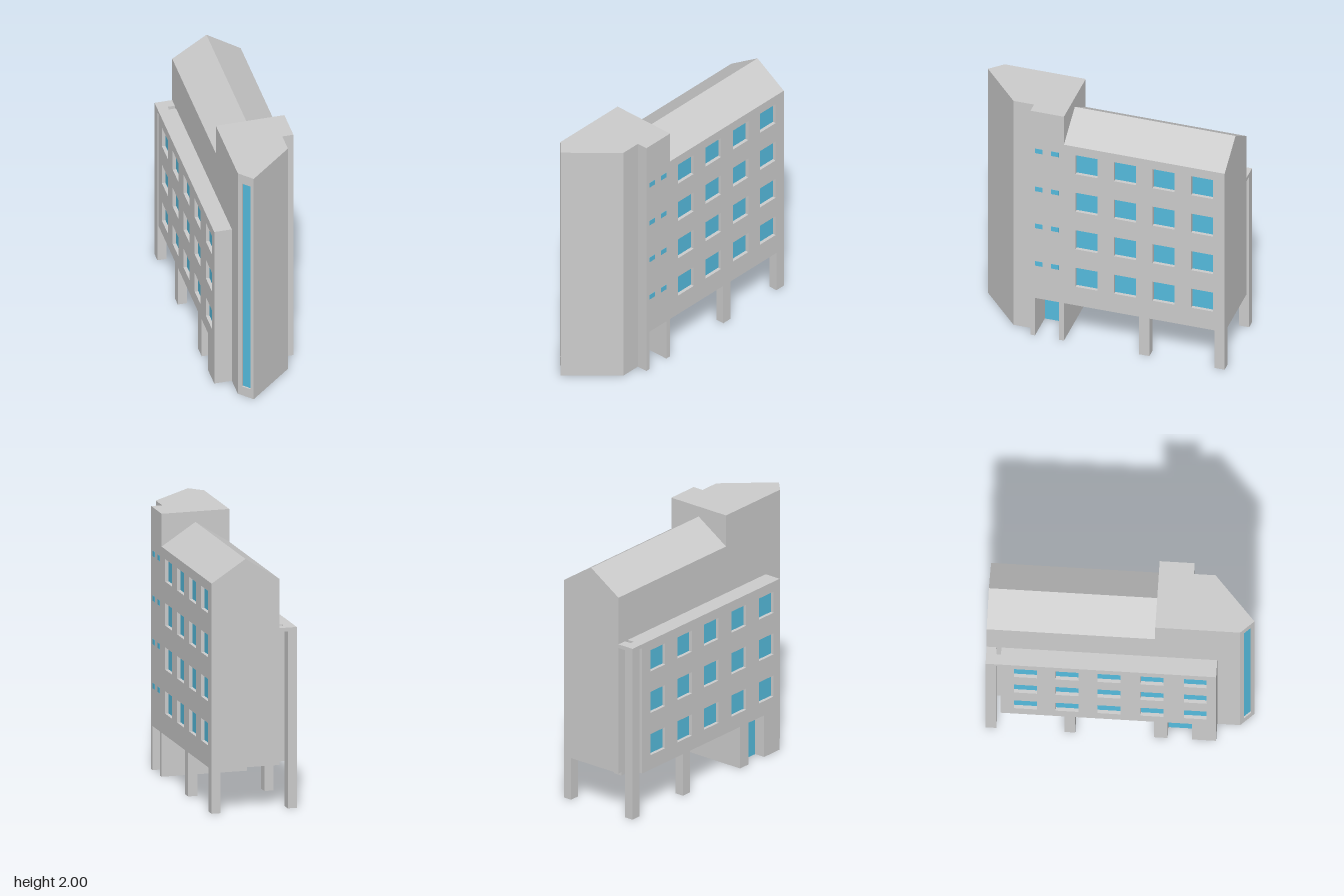
import * as THREE from 'three';

const grey = new THREE.MeshStandardMaterial({ color: 0xcccccc });
const blue = new THREE.MeshStandardMaterial({ color: 0x55bbdd });

// Window grids: lower corners on z and y, all openings are square
const SIZE = 0.17, RECESS = 0.03;
const grid = (zs, ys) => zs.flatMap(z => ys.map(y => [z, y]));
const mainWindows = grid([0, -0.3, -0.6, -0.9], [0.5, 0.835, 1.17, 1.505]);
const annexWindows = grid([-0.78, -0.47, -0.16, 0.16, 0.48], [0.45, 0.79, 1.125]);

function createModel() {
  const model = new THREE.Group();

  const add = (name, geometry, material = grey) => {
    const mesh = new THREE.Mesh(geometry, material);
    mesh.name = name;
    model.add(mesh);
    return mesh;
  };
  const box = (name, [x0, x1], [y0, y1], [z0, z1], material) =>
    add(name, new THREE.BoxGeometry(x1 - x0, y1 - y0, z1 - z0), material)
      .position.set((x0 + x1) / 2, (y0 + y1) / 2, (z0 + z1) / 2);
  const shapeOf = points => new THREE.Shape(points.map(p => new THREE.Vector2(...p)));
  const extrude = (points, depth) =>
    new THREE.ExtrudeGeometry(shapeOf(points), { depth, bevelEnabled: false });
  // Upright prism over a footprint of [x, z] points
  const prism = (name, footprint, y0, y1) =>
    add(name, extrude(footprint.map(([x, z]) => [x, -z]), y1 - y0)
      .rotateX(-Math.PI / 2).translate(0, y0, 0));

  // Facade facing sideways, pierced by windows with recessed panes
  const facade = (name, x, [z0, z1], [y0, y1], windows, paneX) => {
    const shape = shapeOf([[-z1, y0], [-z0, y0], [-z0, y1], [-z1, y1]]);
    for (const [z, y] of windows) {
      shape.holes.push(new THREE.Path([
        [-z, y], [-z - SIZE, y], [-z - SIZE, y + SIZE], [-z, y + SIZE],
      ].map(p => new THREE.Vector2(...p))));
      box(name + 'Window', [paneX - 0.003, paneX + 0.003], [y, y + SIZE], [z, z + SIZE], blue);
    }
    const geometry = new THREE.ExtrudeGeometry(shape, { depth: RECESS, bevelEnabled: false });
    add(name, geometry.rotateY(Math.PI / 2).translate(x, 0, 0));
  };

  // Main block with gabled roof, raised above the ground
  add('mainBlock', extrude([
    [-0.195, 0.335], [0.3, 0.335], [0.3, 1.75], [0.33, 1.75], [0.0675, 1.92], [-0.195, 1.75],
  ], 1.25).translate(0, 0, -0.99));
  facade('mainFacade', 0.3, [-0.99, 0.26], [0.335, 1.75], mainWindows, 0.3);

  // Stair tower, in layers with notches for the entrance and the glazed slot
  const tower = (y0, y1, hasDoor, hasSlot) => prism('stairTower', [
    [-0.195, 0.26], [-0.195, 0.89],
    ...(hasSlot ? [[-0.17, 0.916], [-0.155, 0.902], [-0.105, 0.955], [-0.12, 0.969]] : []),
    [-0.1, 0.99], [0.245, 0.68], [0.245, 0.52], [0.33, 0.52],
    ...(hasDoor ? [[0.33, 0.485], [0.09, 0.485], [0.09, 0.3], [0.33, 0.3]] : []),
    [0.33, 0.26],
  ], y0, y1);
  tower(0, 0.08, true, false);
  tower(0.08, 0.335, true, true);
  tower(0.335, 1.92, false, true);
  tower(1.92, 2, false, false);
  prism('stairGlazing', [
    [-0.161, 0.908], [-0.155, 0.902], [-0.105, 0.955], [-0.111, 0.961],
  ], 0.08, 1.92);
  model.children.at(-1).material = blue;
  box('mainDoor', [0.088, 0.094], [0, 0.335], [0.3, 0.485], blue);

  // Small paired tower windows
  for (const y of [0.645, 0.98, 1.31, 1.65]) {
    for (const z of [0.33, 0.455]) {
      box('towerWindow', [0.325, 0.332], [y - 0.02, y + 0.02], [z - 0.03, z + 0.03], blue);
    }
  }

  // Side annex with its roof slab
  box('annexBlock', [-0.3, -0.195], [0.335, 1.345], [-0.88, 0.72]);
  facade('annexFacade', -0.33, [-0.88, 0.72], [0.335, 1.345], annexWindows, -0.3);
  prism('annexRoof', [
    [-0.33, -0.99], [-0.33, 0.72], [-0.195, 0.72], [-0.195, -0.88],
    [-0.25, -0.88], [-0.25, -0.915], [-0.195, -0.915], [-0.195, -0.99],
  ], 1.345, 1.375);

  // Annex ground floor with recessed side door
  prism('annexBase', [
    [-0.33, 0.26], [-0.33, 0.36], [-0.24, 0.36], [-0.24, 0.54],
    [-0.33, 0.54], [-0.33, 0.72], [-0.195, 0.72], [-0.195, 0.26],
  ], 0, 0.335);
  box('sideDoor', [-0.244, -0.238], [0, 0.335], [0.36, 0.54], blue);

  // Columns: the rear annex one rises to the roof slab
  for (const [z0, z1] of [[-0.99, -0.91], [-0.405, -0.325]]) {
    box('column', [0.26, 0.33], [0, 0.335], [z0, z1]);
    box('annexColumn', [-0.33, -0.26], [0, z0 < -0.9 ? 1.345 : 0.335], [z0, z1]);
  }
  return model;
}

export { createModel };
